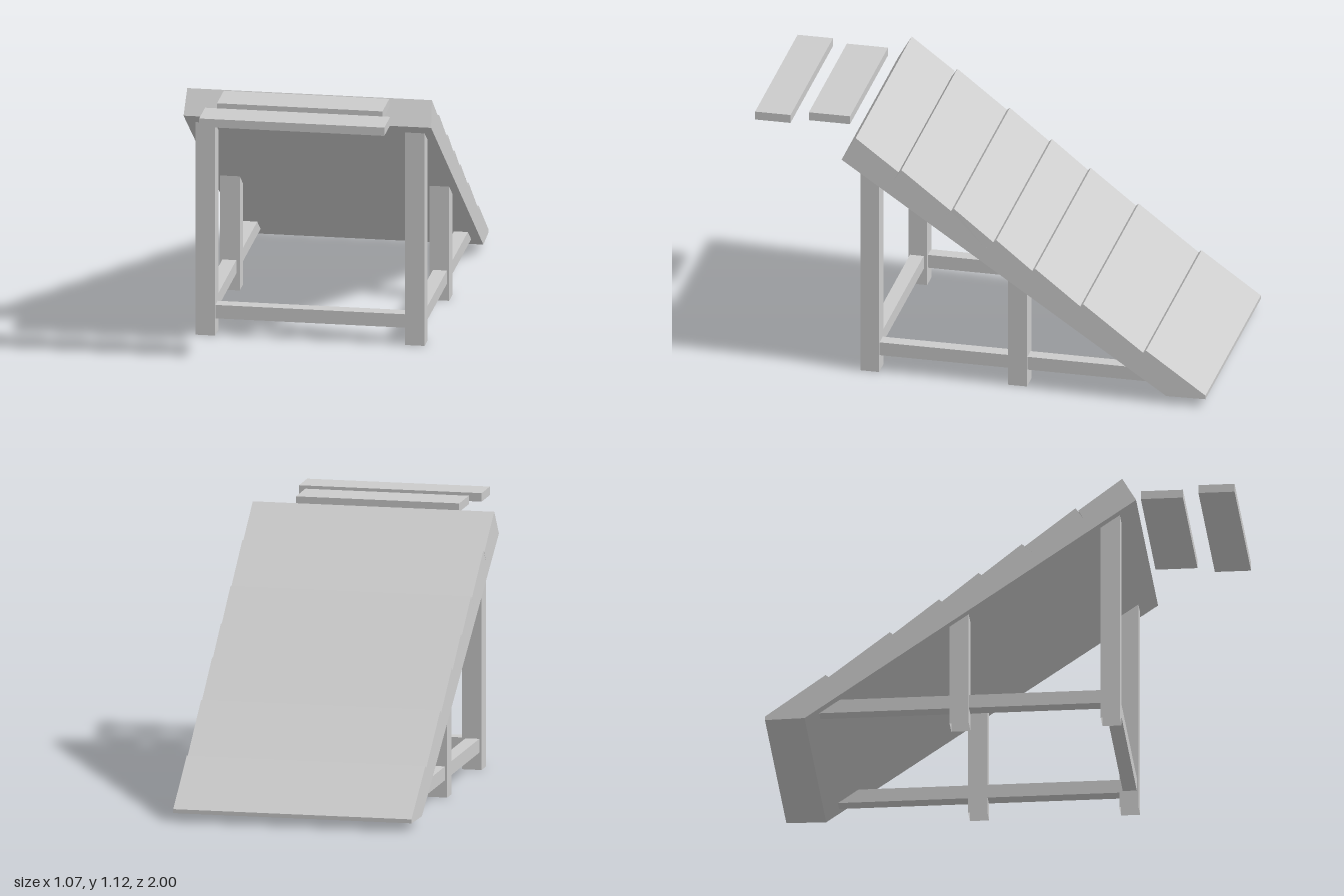
import * as THREE from 'three';

const material = new THREE.MeshStandardMaterial({ color: 0xcccccc, flatShading: true, side: THREE.DoubleSide });

// Height of the ramp's sloping underside at depth z
const underside = (z) => 1.0 + 0.68 * (z - 0.59);

function box(name, x0, x1, y0, y1, z0, z1) {
  const g = new THREE.BoxGeometry(x1 - x0, y1 - y0, z1 - z0);
  g.translate((x0 + x1) / 2, (y0 + y1) / 2, (z0 + z1) / 2);
  const mesh = new THREE.Mesh(g, material);
  mesh.name = name;
  return mesh;
}

// Post with an open foot and a top cut along the ramp's underside
function post(name, x0, x1, z0, z1) {
  const mesh = box(name, x0, x1, 0, 1, z0, z1);
  const g = mesh.geometry;
  const p = g.attributes.position;
  for (let i = 0; i < p.count; i++) {
    if (p.getY(i) > 0.5) p.setY(i, underside(p.getZ(i)));
  }
  const index = Array.from(g.index.array);
  index.splice(18, 6); // bottom face
  g.setIndex(index);
  g.clearGroups();
  g.computeVertexNormals();
  return mesh;
}

// Slab of overlapping boards: side profile with a slanted slit at each joint
function ramp() {
  const top = (z) => 1.105 + 0.69 * (z - 0.53);
  const profile = [[0.59, 1.0], [0.53, 1.105]];
  for (const z of [0.33, 0.1, -0.085, -0.255, -0.465, -0.74]) {
    const steep = z > 0.2;
    profile.push(
      [z + 0.012, top(z + 0.012) - 0.012],
      [z + (steep ? 0.035 : 0.048), top(z) - (steep ? 0.045 : 0.035)],
      [z, top(z) + 0.008],
    );
  }
  profile.push([-1, 0.052], [-1, 0.035], [-0.83, 0.035]);

  const shape = new THREE.Shape(profile.map(([z, y]) => new THREE.Vector2(-z, y)));
  const g = new THREE.ExtrudeGeometry(shape, { depth: 2, bevelEnabled: false });
  g.translate(0, 0, -1);
  g.rotateY(Math.PI / 2);

  // Sides lean in slightly toward the top and the low end
  const p = g.attributes.position;
  for (let i = 0; i < p.count; i++) {
    const z = p.getZ(i);
    const rise = THREE.MathUtils.clamp((p.getY(i) - underside(z)) / 0.146, 0, 1);
    p.setX(i, Math.sign(p.getX(i)) * (0.532 + 0.005 * z - 0.006 * rise));
  }
  g.computeVertexNormals();
  const mesh = new THREE.Mesh(g, material);
  mesh.name = 'ramp';
  return mesh;
}

export function createModel() {
  const model = new THREE.Group();
  model.name = 'rampWithSteps';
  model.add(ramp());

  // Posts and long rails on both sides
  for (const [side, s] of [['left', 1], ['right', -1]]) {
    const span = (a, b) => (s > 0 ? [a, b] : [-b, -a]);
    model.add(
      post(side + 'FrontPost', ...span(0.41, 0.495), 0.435, 0.517),
      post(side + 'MiddlePost', ...span(0.41, 0.495), -0.212, -0.13),
      box(side + 'FrontRail', ...span(0.425, 0.485), 0.075, 0.135, -0.13, 0.435),
      box(side + 'BackRail', ...span(0.425, 0.485), 0.075, 0.135, -0.785, -0.212),
    );
  }
  model.add(box('crossRail', -0.41, 0.41, 0.075, 0.135, 0.45, 0.51));

  // Loose boards beyond the high end
  model.add(
    box('innerBoard', -0.36, 0.355, 1.085, 1.122, 0.595, 0.775),
    box('outerBoard', -0.4, 0.4, 1.085, 1.122, 0.845, 1.0),
  );
  return model;
}
